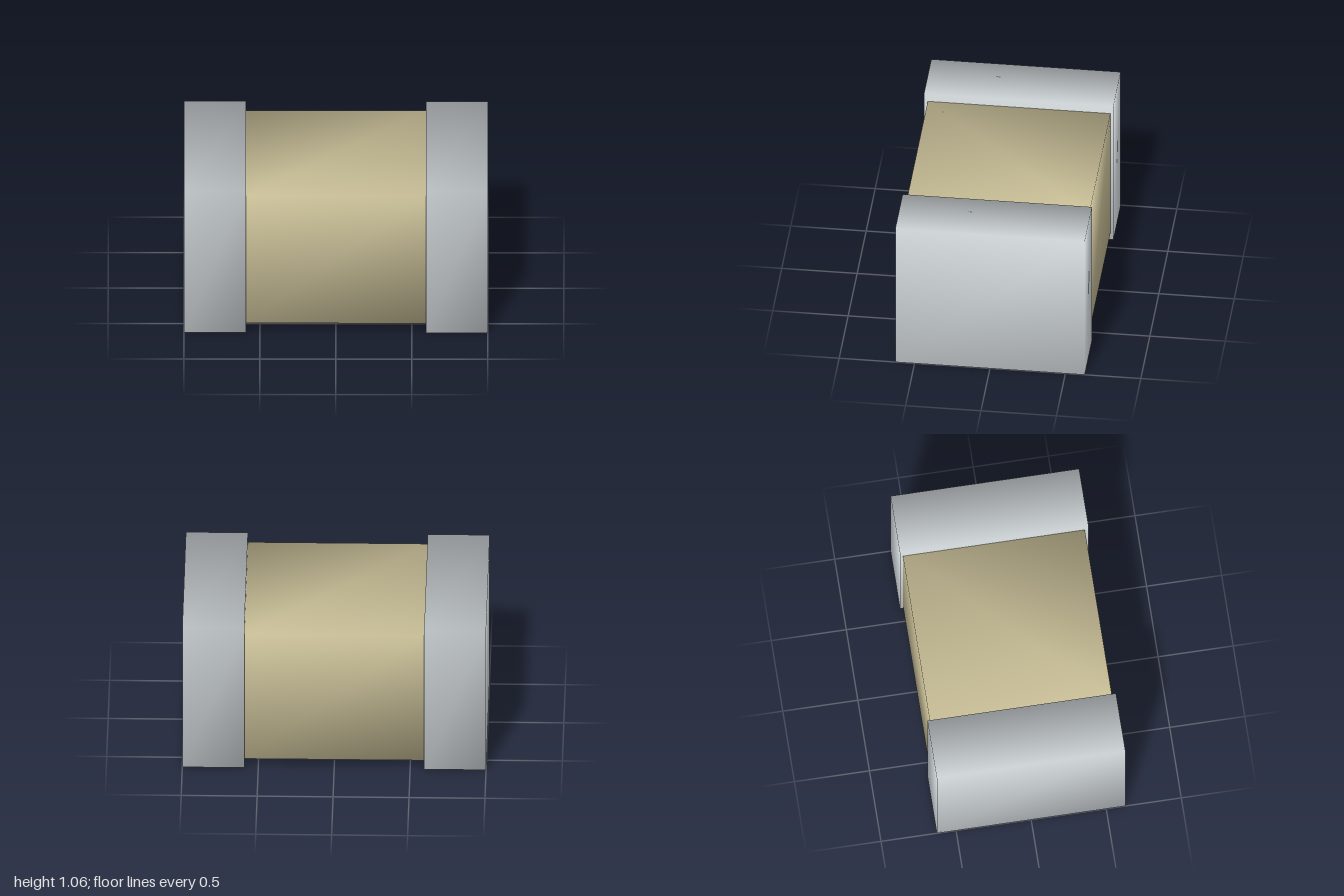
import * as THREE from 'three';
import { mergeVertices } from 'three/addons/utils/BufferGeometryUtils.js';

// Box whose eight corners share smooth normals
function smoothBox(w, h, d) {
  const g = new THREE.BoxGeometry(w, h, d);
  g.deleteAttribute('normal');
  g.deleteAttribute('uv');
  const merged = mergeVertices(g);
  merged.computeVertexNormals();
  return merged;
}

export function createModel() {
  const metal = new THREE.MeshStandardMaterial({ color: 0xd3d9dc });
  metal.name = 'silver metal';
  const ceramic = new THREE.MeshStandardMaterial({ color: 0xcbc199 });
  ceramic.name = 'tan ceramic';

  const model = new THREE.Group();
  model.name = 'chipComponent';

  // Central body, slightly slimmer than the end caps
  const body = new THREE.Mesh(smoothBox(1.184, 0.945, 1.212), ceramic);
  body.name = 'body';
  body.position.set(0, 0.53, -0.003);
  model.add(body);

  // Metal terminals at both ends
  for (const side of [-1, 1]) {
    const cap = new THREE.Mesh(smoothBox(0.408, 1.06, 1.256), metal);
    cap.name = side > 0 ? 'leftTerminal' : 'rightTerminal';
    cap.position.set(side * 0.796, 0.53, 0);
    model.add(cap);
  }
  return model;
}
